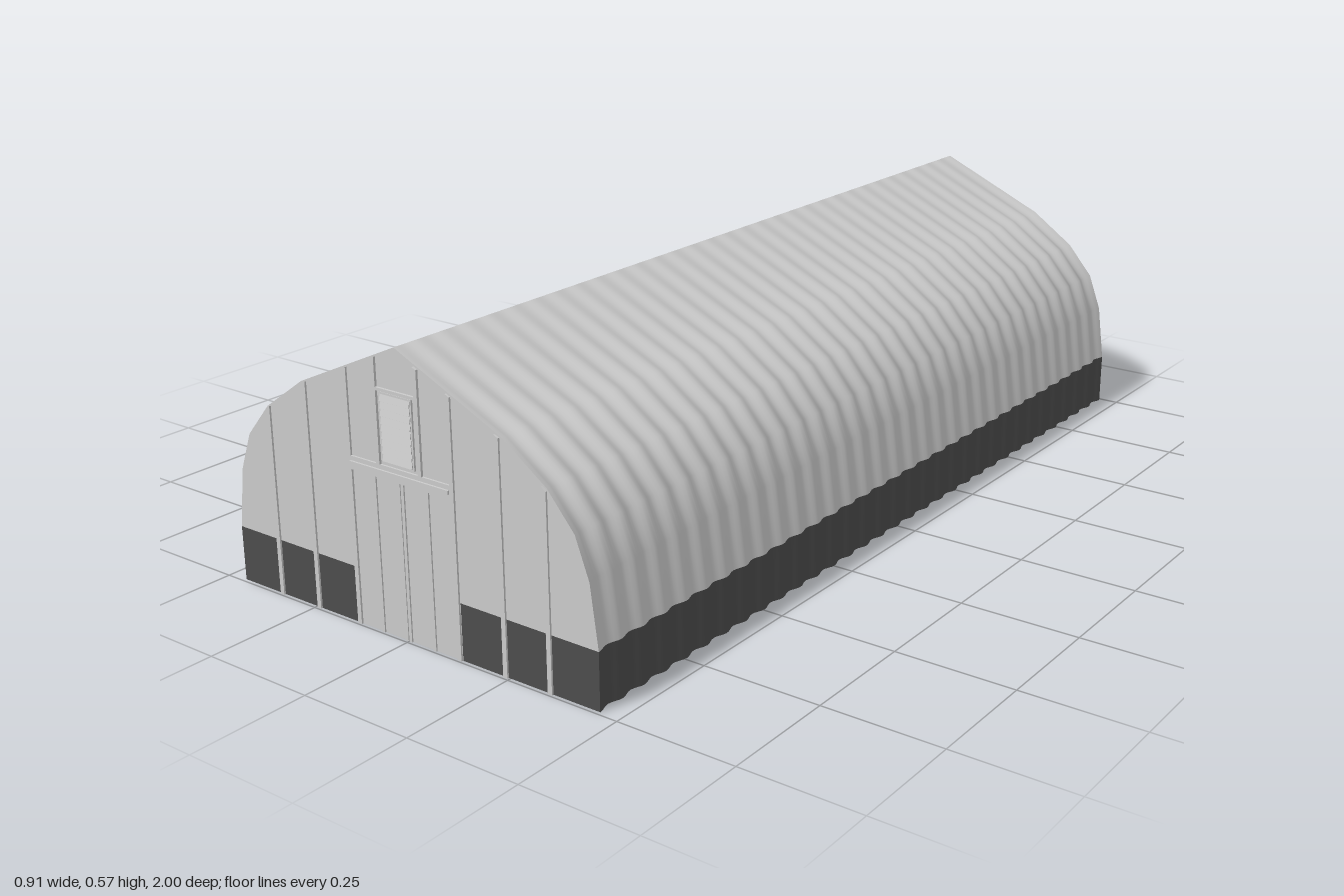
import * as THREE from 'three';

const GREY = new THREE.MeshStandardMaterial({ color: 0xcccccc, side: THREE.DoubleSide });
const DARK = new THREE.MeshStandardMaterial({ color: 0x4d4d4d, side: THREE.DoubleSide });

// Half cross-section from the ground up to the ridge
const PROFILE = [[0.457, 0], [0.457, 0.115], [0.44, 0.24], [0.41, 0.32], [0.35, 0.39], [0.25, 0.46], [0, 0.573]];
const BASE = 0.115, END = 0.992, RIBS = 32, DEPTH = 0.008;

function roofHeight(x) {
  const ax = Math.abs(x);
  for (let i = PROFILE.length - 1; i > 1; i--) {
    const [x0, y0] = PROFILE[i], [x1, y1] = PROFILE[i - 1];
    if (ax <= x1) return y0 + (y1 - y0) * (ax - x0) / (x1 - x0);
  }
  return BASE;
}

// Corrugated sheet swept along z between two profile indices, on one side
function corrugated(from, to, side) {
  const steps = RIBS * 8, cols = to - from + 1, pos = [], idx = [];
  for (let i = 0; i <= steps; i++) {
    const t = i / steps;
    const dip = DEPTH * (1 - Math.cos(t * RIBS * Math.PI * 2)) / 2;
    for (let j = from; j <= to; j++) {
      const a = PROFILE[Math.max(j - 1, 0)], b = PROFILE[Math.min(j + 1, PROFILE.length - 1)];
      const tx = b[0] - a[0], ty = b[1] - a[1], len = Math.hypot(tx, ty);
      const d = j === PROFILE.length - 1 ? 0 : dip;
      const y = j === 0 ? 0 : PROFILE[j][1] + d * tx / len;
      pos.push(side * (PROFILE[j][0] - d * ty / len), y, END - 2 * END * t);
      if (i < steps && j < to) {
        const p = i * cols + j - from, q = p + cols;
        if (side > 0) idx.push(p, q, p + 1, q, q + 1, p + 1);
        else idx.push(p, p + 1, q, q, p + 1, q + 1);
      }
    }
  }
  const g = new THREE.BufferGeometry();
  g.setAttribute('position', new THREE.Float32BufferAttribute(pos, 3));
  g.setIndex(idx);
  g.computeVertexNormals();
  return g;
}

function add(group, name, geometry, material = GREY) {
  const mesh = new THREE.Mesh(geometry, material);
  mesh.name = name;
  group.add(mesh);
  return mesh;
}

const shapeOf = pts => new THREE.Shape(pts.map(p => new THREE.Vector2(p[0], p[1])));

// Flat board raised from the end wall, from corner points
function board(group, name, pts, depth, material = GREY) {
  const g = new THREE.ExtrudeGeometry(shapeOf(pts), { depth, bevelEnabled: false });
  return add(group, name, g.translate(0, 0, END), material);
}
const rect = (x0, x1, y0, y1) => [[x0, y0], [x1, y0], [x1, y1], [x0, y1]];
// Upright strip whose top follows the roof slope
const sloped = (x0, x1, y0, drop = 0.004) =>
  [[x0, y0], [x1, y0], [x1, roofHeight(x1) - drop], [x0, roofHeight(x0) - drop]];

function endWall() {
  const end = new THREE.Group();

  // Gable sheet, reaching the ground only at the doors
  const right = PROFILE.slice(1);
  const left = right.slice(0, -1).reverse().map(([x, y]) => [-x, y]);
  const outline = [[-0.135, BASE], [-0.135, 0], [0.135, 0], [0.135, BASE], ...right, ...left];
  add(end, 'gableWall', new THREE.ShapeGeometry(shapeOf(outline)).translate(0, 0, END));

  for (const s of [-1, 1]) {
    // Dark plinth panel
    const x0 = Math.min(s * 0.135, s * 0.457), x1 = Math.max(s * 0.135, s * 0.457);
    add(end, 'plinthPanel', new THREE.ShapeGeometry(shapeOf(rect(x0, x1, 0, BASE))).translate(0, 0, END), DARK);

    // Wall posts
    for (const x of [0.129, 0.241, 0.346]) {
      board(end, 'wallPost', sloped(s * x - 0.005, s * x + 0.005, 0), 0.004);
    }
    // Door stiles
    for (const x of [0.0045, 0.0665]) {
      board(end, 'doorStile', rect(s * x - 0.0035, s * x + 0.0035, 0, 0.315), 0.003);
    }
    // Hatch side posts
    board(end, 'hatchPost', sloped(s * 0.0525 - 0.0045, s * 0.0525 + 0.0045, 0.342), 0.005);
  }

  // Lintel and its sliding rail
  board(end, 'lintel', rect(-0.124, 0.124, 0.315, 0.342), 0.004);
  board(end, 'slidingRail', rect(-0.124, 0.124, 0.325, 0.333), 0.008);

  // Hatch head and louvred vent
  board(end, 'hatchHead', rect(-0.048, 0.048, 0.485, 0.491), 0.005);
  board(end, 'ventPanel', rect(-0.04, 0.04, 0.348, 0.484), 0.004);
  const slats = 9, pitch = 0.13 / slats;
  for (let i = 0; i < slats; i++) {
    const slat = add(end, 'ventSlat', new THREE.BoxGeometry(0.074, pitch * 0.9, 0.002));
    slat.position.set(0, 0.351 + pitch * (i + 0.5), END + 0.005);
    slat.rotation.x = -0.25;
  }
  return end;
}

export function createModel() {
  const model = new THREE.Group();
  model.name = 'barn';

  // Corrugated roof shells and dark side skirts
  for (const s of [1, -1]) {
    const word = s > 0 ? 'left' : 'right';
    add(model, word + 'RoofShell', corrugated(1, PROFILE.length - 1, s));
    add(model, word + 'Skirt', corrugated(0, 1, s), DARK);
  }

  // Matching end walls
  const front = endWall();
  front.name = 'frontWall';
  const back = endWall();
  back.name = 'backWall';
  back.rotation.y = Math.PI;
  model.add(front, back);
  return model;
}
